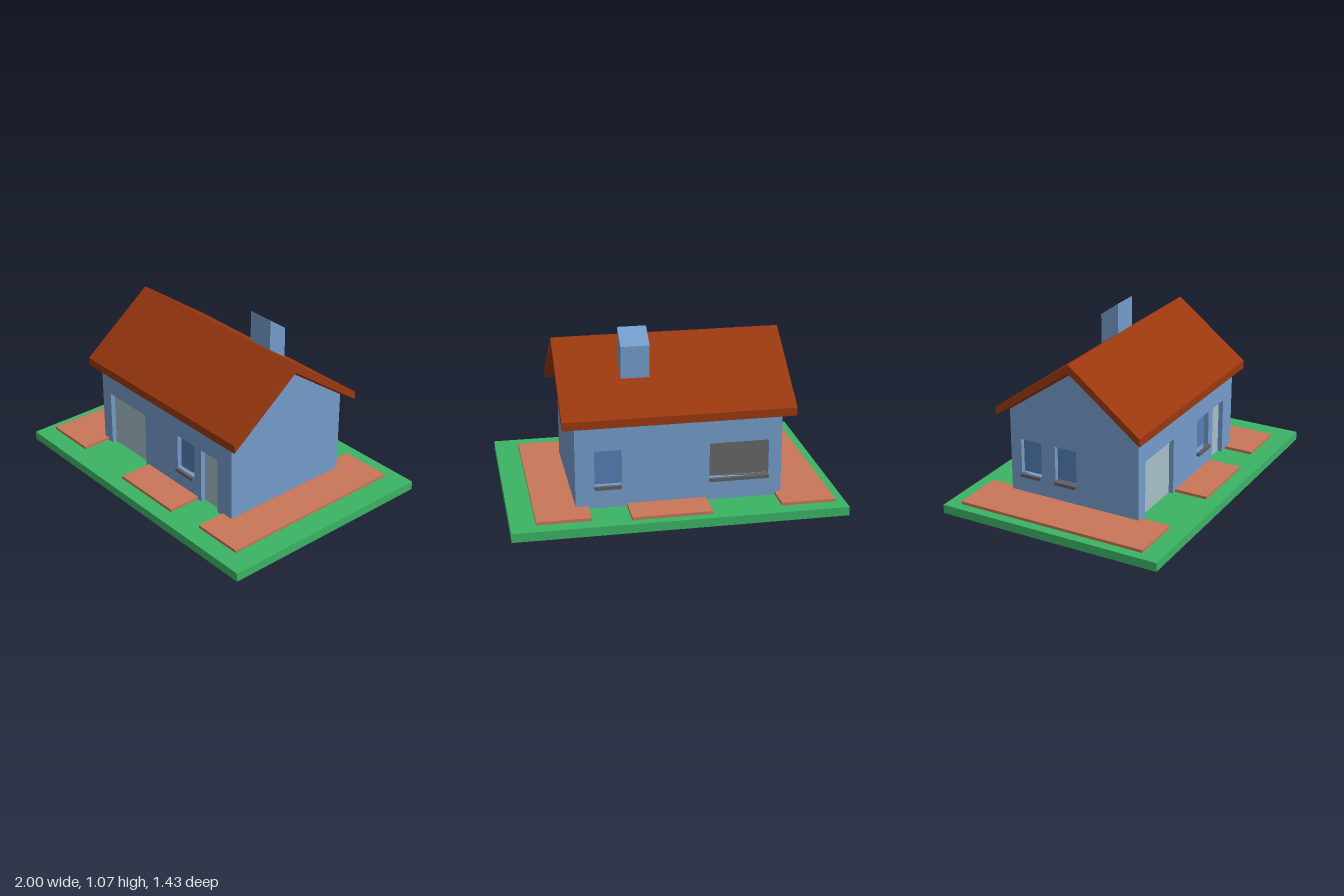
import * as THREE from 'three';

const mat = (name, color) => {
  const m = new THREE.MeshStandardMaterial({ color });
  m.name = name;
  return m;
};

export function createModel() {
  const group = new THREE.Group();
  const lawn = mat('lawn green', 0x3cb465);
  const paving = mat('terracotta paving', 0xc97657);
  const wall = mat('wall blue', 0x749ccb);
  const tile = mat('roof brown', 0x9a380e);
  const glass = mat('window blue', 0x547fb5);
  const door = mat('door pale grey', 0xa6c0c8);
  const shutter = mat('shutter grey', 0x666766);
  const stone = mat('sill grey', 0x5e6062);

  const add = (name, geo, material) => {
    const m = new THREE.Mesh(geo, material);
    m.name = name;
    group.add(m);
    return m;
  };
  // Box given by its minimum and maximum corners
  const box = (name, material, x0, x1, y0, y1, z0, z1) =>
    add(name, new THREE.BoxGeometry(x1 - x0, y1 - y0, z1 - z0)
      .translate((x0 + x1) / 2, (y0 + y1) / 2, (z0 + z1) / 2), material);
  // Prism from an outline with rectangular holes [u0, u1, y0, y1]
  const prism = (outline, depth, holes = []) => {
    const s = new THREE.Shape(outline.map(p => new THREE.Vector2(...p)));
    for (const [a, b, c, d] of holes) {
      s.holes.push(new THREE.Path([[a, c], [a, d], [b, d], [b, c]].map(p => new THREE.Vector2(...p))));
    }
    return new THREE.ExtrudeGeometry(s, { depth, bevelEnabled: false });
  };

  // Ground slab and paving
  box('lawn', lawn, -1, 1, 0, 0.055, -0.715, 0.715);
  box('leftPaving', paving, 0.525, 0.85, 0.05, 0.073, -0.625, 0.595);
  box('rightPaving', paving, -0.94, -0.61, 0.05, 0.073, -0.625, 0.595);
  box('middlePaving', paving, -0.185, 0.295, 0.05, 0.073, -0.66, 0.62);

  // House extents, wall thickness, ridge position
  const X0 = -0.645, X1 = 0.6, Z0 = -0.457, Z1 = 0.41, T = 0.03, RZ = -0.005;
  const base = 0.03, head = 0.415, sillTop = 0.195;

  // Openings: [name, u0, u1, bottom, material, hasSill]
  const front = [
    ['garageDoor', -0.565, -0.21, 0.045, door, false],
    ['frontWindow', 0.105, 0.265, sillTop, glass, true],
    ['frontDoor', 0.325, 0.475, 0.045, door, false],
  ];
  const back = [
    ['backWindow', 0.325, 0.485, sillTop, glass, true],
    ['wideBackWindow', -0.566, -0.205, sillTop, shutter, true],
  ];
  const side = [
    ['sideWindowRear', -0.385, -0.245, sillTop, glass, true],
    ['sideWindowFront', -0.15, -0.005, sillTop, glass, true],
  ];
  const holes = list => list.map(o => [o[1], o[2], o[3], head]);

  // Long walls
  const a = X0 + T, b = X1 - T;
  const longWall = [[a, base], [b, base], [b, 0.605], [a, 0.605]];
  add('frontWall', prism(longWall, T, holes(front)).translate(0, 0, Z1 - T), wall);
  add('backWall', prism(longWall, T, holes(back)).translate(0, 0, Z0), wall);

  // Gable walls, drawn in z and y and turned to face sideways
  const gable = [[Z0, base], [Z1, base], [Z1, 0.605], [RZ, 0.922], [Z0, 0.605]];
  add('leftGable', prism(gable, T).rotateY(-Math.PI / 2).translate(X1, 0, 0), wall);
  add('rightGable', prism(gable, T, holes(side)).rotateY(-Math.PI / 2).translate(X0 + T, 0, 0), wall);

  // Recessed panes and doors, with projecting sills
  const fill = (list, place) => {
    for (const [name, u0, u1, y0, material, hasSill] of list) {
      place(name, material, u0, u1, y0, head, T, T + 0.008);
      if (hasSill) place(name + 'Sill', stone, u0, u1, y0 - 0.02, y0, -0.02, T);
    }
  };
  // d0 and d1 are depths measured inward from the wall face
  fill(front, (n, m, u0, u1, y0, y1, d0, d1) => box(n, m, u0, u1, y0, y1, Z1 - d1, Z1 - d0));
  fill(back, (n, m, u0, u1, y0, y1, d0, d1) => box(n, m, u0, u1, y0, y1, Z0 + d0, Z0 + d1));
  fill(side, (n, m, u0, u1, y0, y1, d0, d1) => box(n, m, X0 + d0, X0 + d1, y0, y1, u0, u1));

  // Roof: cross-sections along x, thicker over the walls than at the verges
  const section = (x, wallY, ridgeY) => [
    [0.455, 0.625], [RZ, 0.983], [-0.507, 0.625], [-0.507, 0.575],
    [Z0, wallY], [RZ, ridgeY], [Z1, wallY], [0.455, 0.575],
  ].map(([z, y]) => [x, y, z]);
  const sections = [
    section(-0.72, 0.61, 0.931), section(X0, 0.595, 0.912),
    section(X1, 0.595, 0.912), section(0.675, 0.61, 0.931),
  ];
  const index = [];
  for (let i = 0; i < 3; i++) {
    for (let j = 0; j < 8; j++) {
      const p = i * 8 + j, q = i * 8 + (j + 1) % 8;
      index.push(p, p + 8, q + 8, p, q + 8, q);
    }
  }
  for (const [p, q, r] of [[0, 1, 5], [0, 5, 6], [0, 6, 7], [1, 2, 5], [2, 4, 5], [2, 3, 4]]) {
    index.push(p, q, r, r + 24, q + 24, p + 24);
  }
  const indexed = new THREE.BufferGeometry();
  indexed.setAttribute('position', new THREE.Float32BufferAttribute(sections.flat(2), 3));
  indexed.setIndex(index);
  const roof = indexed.toNonIndexed();
  roof.computeVertexNormals();
  add('roof', roof, tile);

  // Chimney with a top parallel to the rear slope
  const stack = [[-0.275, 0.755], [-0.154, 0.84], [-0.154, 1.072], [-0.275, 0.985]];
  add('chimney', prism(stack, 0.173).rotateY(-Math.PI / 2).translate(0.295, 0, 0), wall);

  return group;
}
